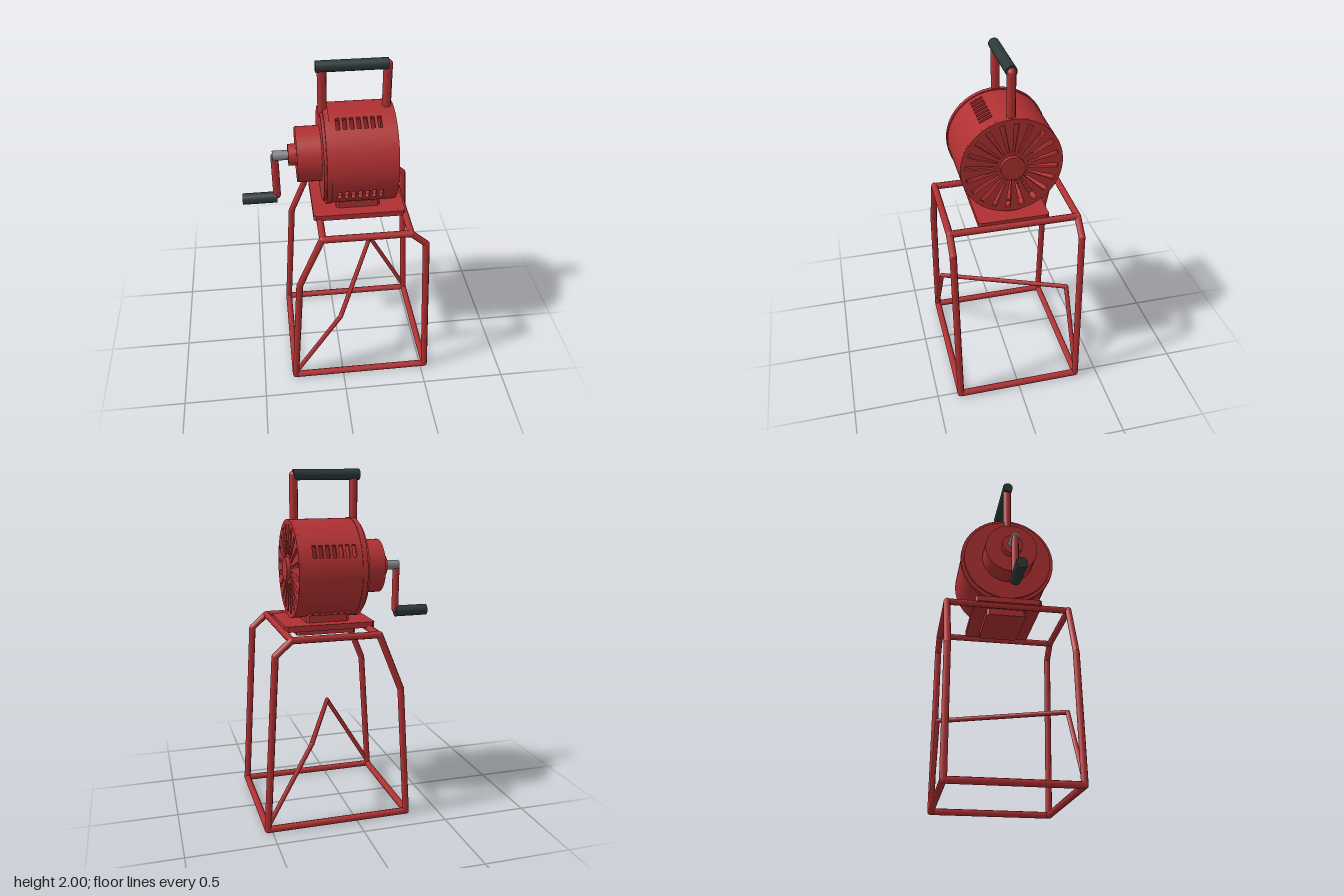
import * as THREE from 'three';
import { toCreasedNormals } from 'three/addons/utils/BufferGeometryUtils.js';

const red = new THREE.MeshStandardMaterial({ color: 0xb03032 });
red.name = 'red paint';
const rubber = new THREE.MeshStandardMaterial({ color: 0x2c3838 });
rubber.name = 'dark rubber';
const steel = new THREE.MeshStandardMaterial({ color: 0x858788 });
steel.name = 'grey steel';

const AXIS_Y = 1.443; // height of the drum axis
const V = (x, y, z) => new THREE.Vector3(x, y, z);

export function createModel() {
  const model = new THREE.Group();
  model.name = 'handCrankSiren';

  const add = (name, geometry, material = red, parent = model) => {
    const mesh = new THREE.Mesh(geometry, material);
    mesh.name = name;
    parent.add(mesh);
    return mesh;
  };
  const group = (name) => {
    const g = new THREE.Group();
    g.name = name;
    model.add(g);
    return g;
  };

  // Cylinder lying along x
  const xCylinder = (name, x0, x1, r, y = AXIS_Y, material = red, sides = 48) => {
    const g = new THREE.CylinderGeometry(r, r, x1 - x0, sides).rotateZ(-Math.PI / 2);
    g.translate((x0 + x1) / 2, y, 0);
    return add(name, g, material);
  };

  // Welded pipe through a list of points, with a ball at each joint
  const pipe = (name, points, r, parent) => {
    points.forEach((p, i) => {
      add(name + 'Joint', new THREE.SphereGeometry(r, 8, 6).translate(p.x, p.y, p.z), red, parent);
      if (i === 0) return;
      const a = points[i - 1];
      const dir = p.clone().sub(a);
      const bar = add(name, new THREE.CylinderGeometry(r, r, dir.length(), 8), red, parent);
      bar.position.copy(a).add(p).multiplyScalar(0.5);
      bar.quaternion.setFromUnitVectors(V(0, 1, 0), dir.normalize());
    });
  };

  // Tubular stand: two bent side loops, cross bars and a diagonal brace
  const stand = group('stand');
  const Z = 0.363, R = 0.02, FLOOR = 0.022;
  for (const z of [-Z, Z]) {
    pipe('sideLoop', [
      V(-0.305, FLOOR, z), V(-0.257, 0.785, z), V(-0.125, 1.11, z), V(0.373, 1.11, z),
      V(0.463, 1.03, z), V(0.525, FLOOR, z), V(-0.305, FLOOR, z),
    ], R, stand);
  }
  for (const [x, y] of [[-0.305, FLOOR], [0.525, FLOOR], [-0.12, 1.11], [0.373, 1.11]]) {
    pipe('crossBar', [V(x, y, -Z), V(x, y, Z)], R, stand);
  }
  pipe('brace', [
    V(-0.305, 0.04, Z), V(-0.02, 0.507, Z), V(0.267, 0.507, -Z), V(0.525, 0.04, -Z),
  ], 0.014, stand);

  // Mounting plate with blocks above and below
  const mount = group('mount');
  const block = (name, x0, x1, y0, y1, halfZ) => {
    const c = 0.015, s = new THREE.Shape();
    s.moveTo(x0 + c, -halfZ);
    for (const [x, z] of [[x1 - c, -halfZ], [x1, c - halfZ], [x1, halfZ - c], [x1 - c, halfZ],
      [x0 + c, halfZ], [x0, halfZ - c], [x0, c - halfZ]]) s.lineTo(x, z);
    const g = new THREE.ExtrudeGeometry(s, { depth: y1 - y0, bevelEnabled: false });
    add(name, g.rotateX(-Math.PI / 2).translate(0, y0, 0), red, mount);
  };
  block('mountPlate', -0.155, 0.37, 1.115, 1.148, 0.2);
  block('lowerBlock', -0.065, 0.285, 1.075, 1.115, 0.12);
  block('pedestal', -0.02, 0.232, 1.148, 1.19, 0.133);

  // Hollow drum wall, built of curved strips that leave four rows of vents
  const drum = group('drum');
  const strip = (name, a0, a1, x0, x1) => {
    const s = new THREE.Shape();
    s.absarc(0, 0, 0.281, a0, a1, false);
    s.absarc(0, 0, 0.262, a1, a0, true);
    let g = new THREE.ExtrudeGeometry(s, { depth: x1 - x0, bevelEnabled: false, curveSegments: 16 });
    g = toCreasedNormals(g, 0.5);
    add(name, g.rotateY(Math.PI / 2).translate(x0, AXIS_Y, 0), red, drum);
  };
  const X0 = -0.057, X1 = 0.29, VENTS = 7, PITCH = 0.0377, WIDTH = 0.021;
  const half = THREE.MathUtils.degToRad(7.5);
  for (let k = 0; k < 4; k++) {
    const a = THREE.MathUtils.degToRad(26 + 90 * k);
    strip('drumWall', a + half, a + Math.PI / 2 - half, X0, X1);
    let x = X0;
    for (let i = 0; i <= VENTS; i++) {
      const vent = -0.023 + i * PITCH;
      strip('ventRib', a - half, a + half, x, i < VENTS ? vent : X1);
      x = vent + WIDTH;
    }
  }

  // Front grille with radial slots
  const disc = new THREE.Shape();
  disc.absarc(0, 0, 0.281, 0, Math.PI * 2, false);
  for (let i = 0; i < 20; i++) {
    const a = ((5 + i * 18) * Math.PI) / 180;
    const c = Math.cos(a), s = Math.sin(a);
    const slot = [[0.085, -0.005], [0.085, 0.005], [0.255, 0.014], [0.255, -0.014]];
    disc.holes.push(new THREE.Path(slot.map(([r, w]) =>
      new THREE.Vector2(-(r * c - w * s), r * s + w * c))));
  }
  const grille = new THREE.ExtrudeGeometry(disc, { depth: 0.015, bevelEnabled: false, curveSegments: 32 });
  add('grille', toCreasedNormals(grille, 0.5).rotateY(Math.PI / 2).translate(0.29, AXIS_Y, 0), red, drum);
  xCylinder('grilleHub', 0.3, 0.328, 0.068);

  // Stepped housing at the crank end
  xCylinder('drumRim', -0.083, -0.055, 0.287);
  xCylinder('backPlate', -0.098, -0.083, 0.267);
  xCylinder('gearHousing', -0.233, -0.098, 0.156);
  xCylinder('shaftCollar', -0.277, -0.233, 0.061);

  // Crank
  xCylinder('crankShaft', -0.365, -0.275, 0.028, AXIS_Y, steel, 24);
  pipe('crankArm', [V(-0.353, 1.437, 0), V(-0.35, 1.175, 0)], 0.022, group('crank'));
  xCylinder('crankGrip', -0.55, -0.35, 0.033, 1.16, rubber, 24);

  // Carrying handle
  const handle = group('carryHandle');
  pipe('handlePipe', [
    V(-0.082, 1.69, 0), V(-0.082, 1.965, 0), V(0.268, 1.965, 0), V(0.268, 1.69, 0),
  ], 0.025, handle);
  xCylinder('handleGrip', -0.116, 0.27, 0.031, 1.969, rubber, 24);

  return model;
}
